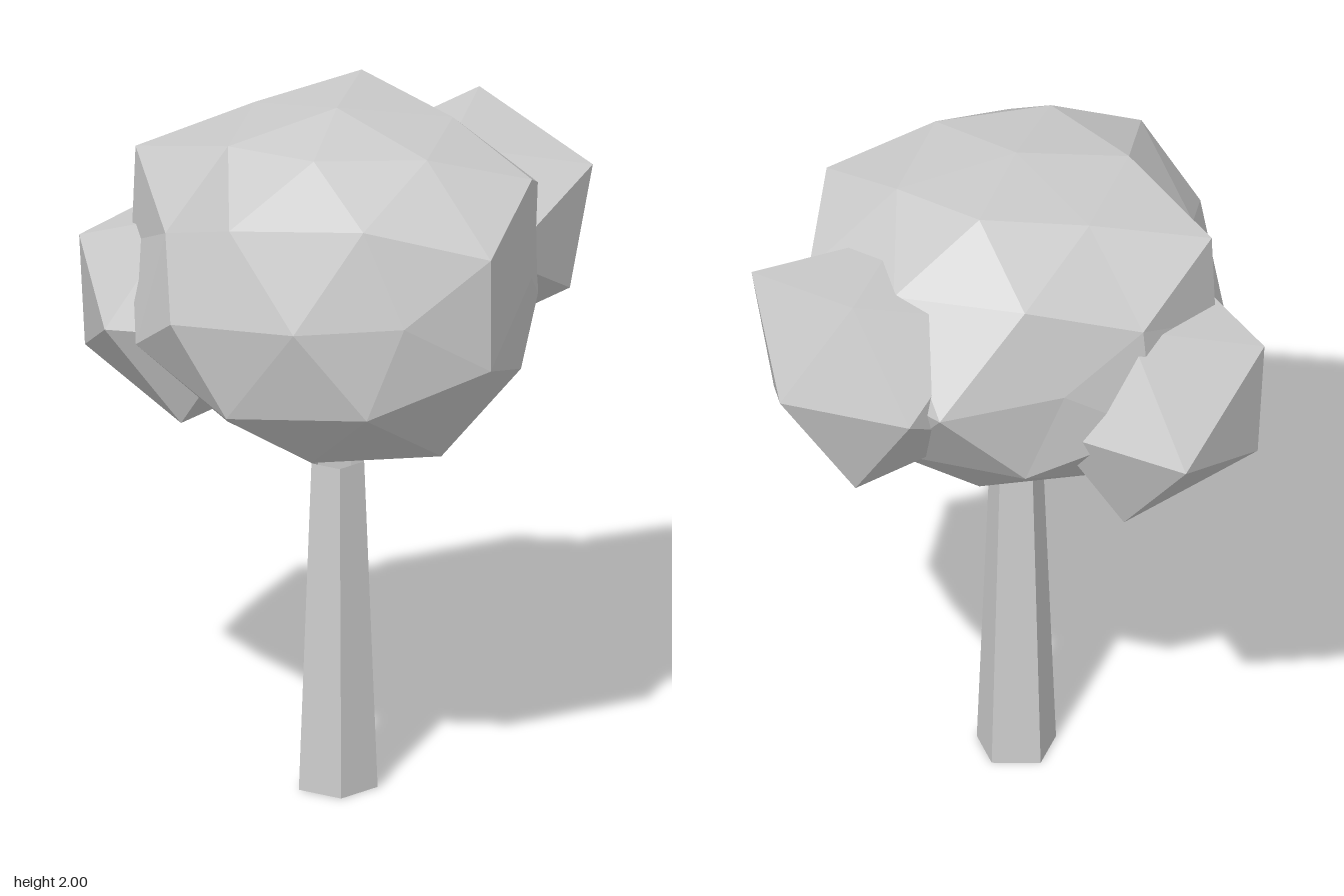
import * as THREE from 'three';

const grey = new THREE.MeshStandardMaterial({ color: 0xcccccc, side: THREE.DoubleSide });
grey.name = 'plainGrey';

function addPart(group, name, geometry) {
  const flat = geometry.index ? geometry.toNonIndexed() : geometry;
  flat.computeVertexNormals();
  const mesh = new THREE.Mesh(flat, grey);
  mesh.name = name;
  group.add(mesh);
}

// Faceted leaf clump: a stretched icosahedron whose corners snap to nearby hand-placed points
function clump(detail, centre, size, corners) {
  const geometry = new THREE.IcosahedronGeometry(1, detail);
  geometry.rotateY(Math.PI / 2).scale(...size).translate(...centre);
  const targets = corners.map((c) => new THREE.Vector3(...c));
  const pos = geometry.attributes.position;
  const v = new THREE.Vector3();
  for (let i = 0; i < pos.count; i++) {
    v.fromBufferAttribute(pos, i);
    const hit = targets.find((t) => t.distanceTo(v) < 0.14);
    if (hit) pos.setXYZ(i, hit.x, hit.y, hit.z);
  }
  return geometry;
}

export function createModel() {
  const tree = new THREE.Group();
  tree.name = 'tree';

  // Tapered five-sided trunk, open at both ends
  const trunk = new THREE.CylinderGeometry(0.077, 0.115, 0.96, 5, 1, true, Math.PI / 2);
  trunk.translate(0.05, 0.48, 0.075);
  addPart(tree, 'trunk', trunk);

  // Main crown
  addPart(tree, 'mainCrown', clump(1, [0.05, 1.54, 0.075], [0.62, 0.53, 0.62], [
    // poles
    [0.05, 2.0, 0.075], [0.05, 1.54, 0.65], [0.05, 1.54, -0.6],
    [0.6, 1.54, 0.075], [-0.53, 1.56, 0.075],
    // upper ring
    [0.05, 1.955, 0.38], [0.34, 1.93, 0.24], [0.34, 1.93, -0.1],
    [-0.22, 1.93, 0.25], [-0.22, 1.93, -0.1],
    // shoulders
    [0.6, 1.83, 0.07], [-0.52, 1.84, 0.07], [0.22, 1.81, 0.52],
    [-0.145, 1.81, 0.585], [-0.13, 1.81, -0.395],
    [-0.38, 1.69, 0.33], [-0.42, 1.7, -0.23],
    // waist
    [0.34, 1.54, 0.54], [-0.3, 1.54, 0.635], [-0.24, 1.54, -0.38],
    // underside
    [0.57, 1.27, 0.075], [-0.15, 1.26, 0.6], [0.05, 1.075, 0.41],
    [0.39, 1.075, 0.285], [-0.22, 1.12, 0.26],
  ]));

  // Small clump at the back left
  addPart(tree, 'backClump', clump(0, [0.31, 1.54, -0.345], [0.36, 0.36, 0.36], [
    [0.685, 1.73, -0.335], [0.62, 1.36, -0.335],
    [0.315, 1.845, -0.565], [0.31, 1.23, -0.555],
    [0.5, 1.535, -0.645], [0.12, 1.54, -0.655], [0.315, 1.82, -0.16],
  ]));

  // Small clump low on the right
  addPart(tree, 'sideClump', clump(0, [-0.37, 1.375, -0.02], [0.36, 0.36, 0.36], [
    [-0.69, 1.545, 0.02], [-0.68, 1.21, -0.01],
    [-0.56, 1.375, 0.29], [-0.6, 1.375, -0.4], [-0.37, 1.06, -0.25],
  ]));

  return tree;
}
